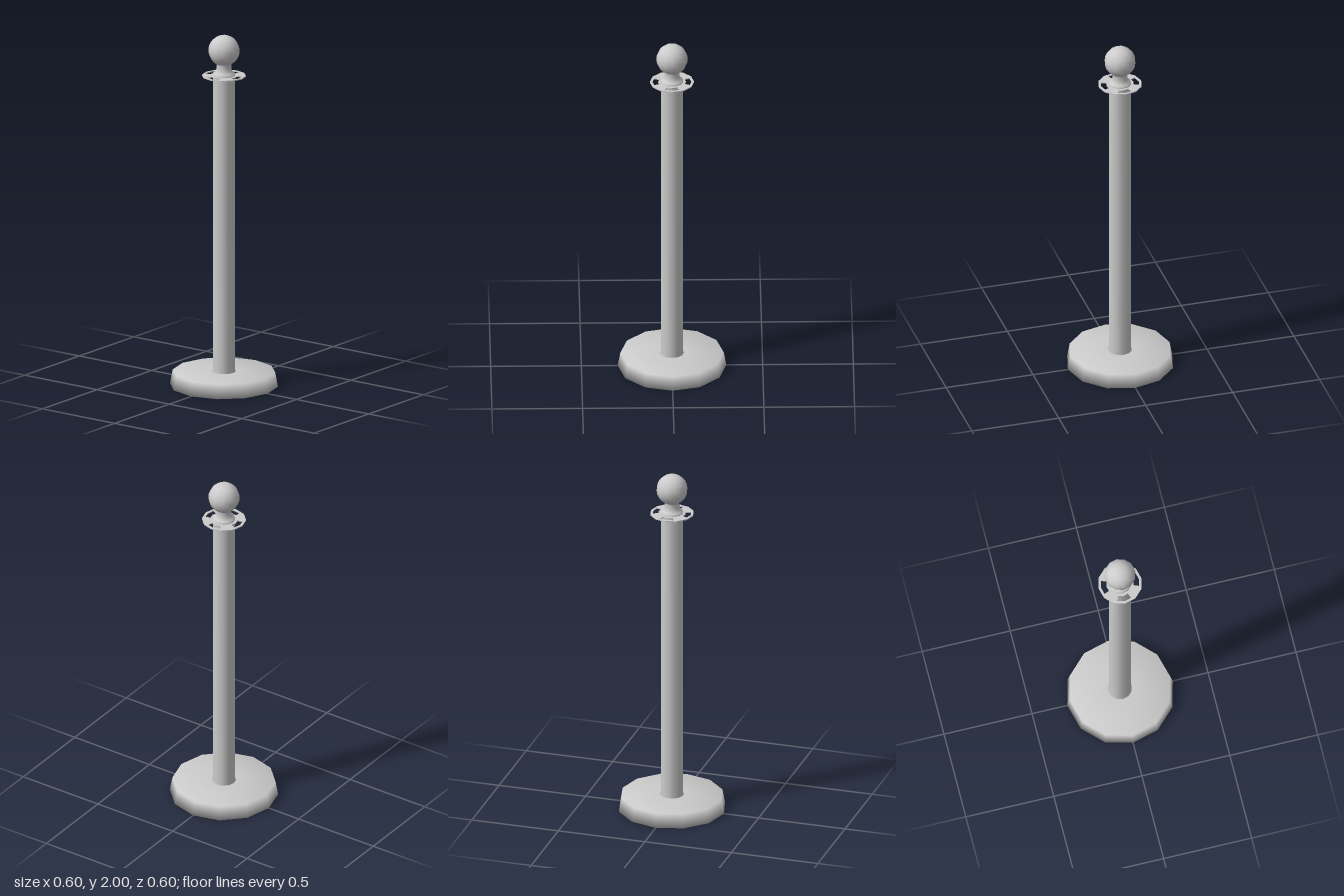
import * as THREE from 'three';

const SIDES = 12;
const material = new THREE.MeshStandardMaterial({ color: 0xcccccc });

// Smooth-shaded turned part from [radius, height] pairs, listed bottom to top
function turned(name, profile) {
  const points = profile.map(([r, y]) => new THREE.Vector2(r, y));
  const mesh = new THREE.Mesh(new THREE.LatheGeometry(points, SIDES), material);
  mesh.name = name;
  return mesh;
}

// Point on a regular polygon with a corner every 30 degrees, at any angle
function onPolygon(radius, angle) {
  const step = (Math.PI * 2) / SIDES;
  const offset = angle - (Math.floor(angle / step) + 0.5) * step;
  const r = (radius * Math.cos(step / 2)) / Math.cos(offset);
  return new THREE.Vector2(r * Math.cos(angle), r * Math.sin(angle));
}

// Thin plate with four slots for hooking ropes
function ropePlate() {
  const outline = [];
  for (let i = 0; i < SIDES; i++) outline.push(onPolygon(0.122, (i / SIDES) * Math.PI * 2));
  const shape = new THREE.Shape(outline);
  const half = 0.39;
  for (let i = 0; i < 4; i++) {
    const a = (i * Math.PI) / 2;
    shape.holes.push(new THREE.Path([
      onPolygon(0.108, a - half), onPolygon(0.108, a), onPolygon(0.108, a + half),
      onPolygon(0.077, a + half), onPolygon(0.077, a), onPolygon(0.077, a - half),
    ]));
  }
  const geometry = new THREE.ExtrudeGeometry(shape, { depth: 0.006, bevelEnabled: false });
  geometry.rotateX(-Math.PI / 2);
  const mesh = new THREE.Mesh(geometry, material);
  mesh.name = 'ropePlate';
  mesh.position.y = 1.766;
  return mesh;
}

export function createModel() {
  const model = new THREE.Group();
  model.name = 'barrierPost';

  // Weighted foot with sloping rim
  model.add(turned('base', [[0, 0], [0.3, 0], [0.285, 0.08], [0.07, 0.08]]));

  // Pole, flared into the base and the plate
  model.add(turned('pole', [[0.07, 0.08], [0.062, 0.08], [0.062, 1.765], [0.074, 1.765]]));

  model.add(ropePlate());

  // Collar and neck under the ball
  model.add(turned('neck', [
    [0.062, 1.771], [0.06, 1.785], [0.048, 1.787], [0.043, 1.805], [0.04, 1.825], [0.044, 1.845],
  ]));

  // Ball finial
  const ball = new THREE.Mesh(new THREE.SphereGeometry(0.087, SIDES, 12), material);
  ball.name = 'ball';
  ball.position.y = 1.913;
  model.add(ball);

  return model;
}
